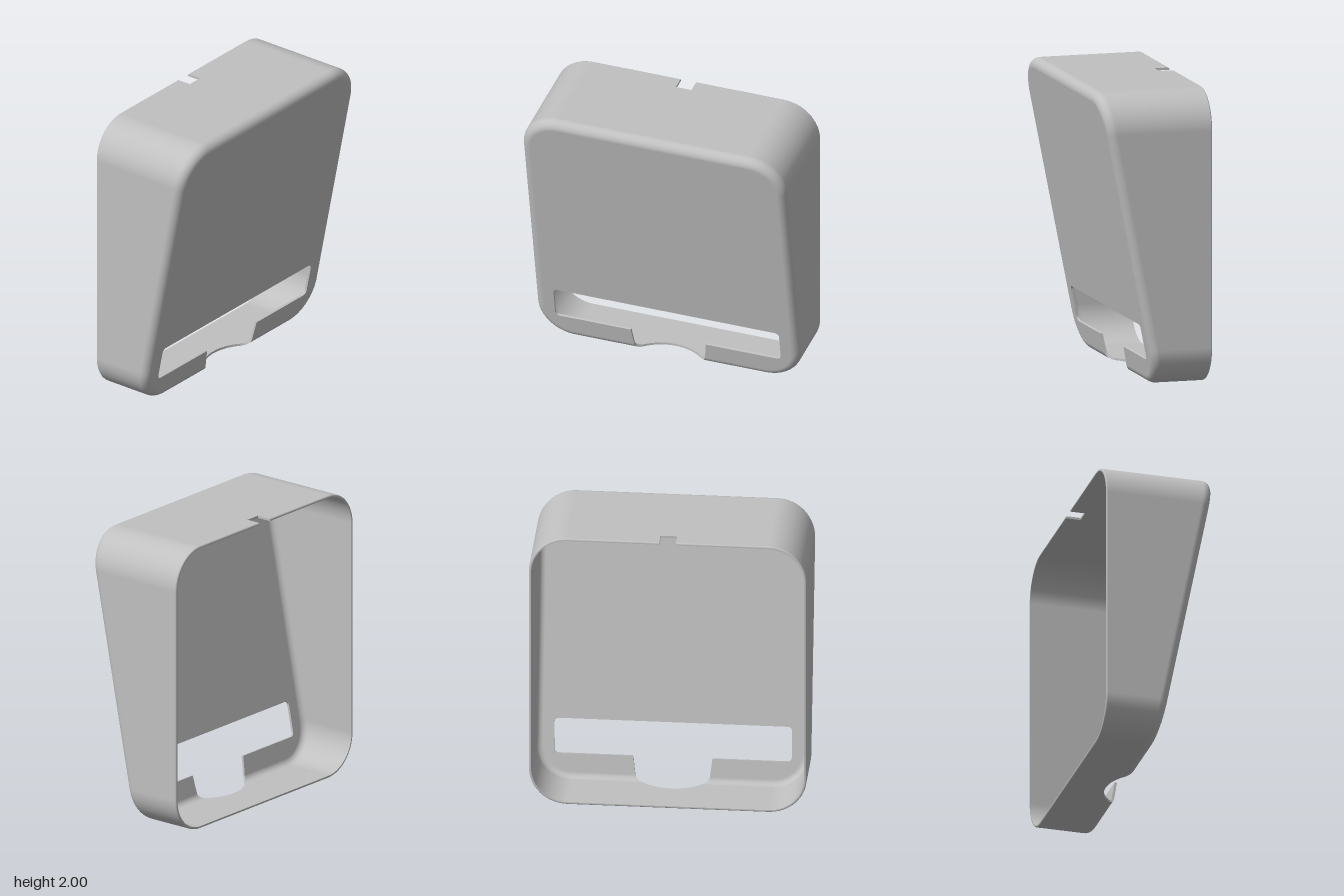
import * as THREE from 'three';

const V = (x, y, z) => new THREE.Vector3(x, y, z);
const HALF_W = 0.935, H = 2, CORNER = 0.26, BACK = -0.383;
const FILLET = 0.06, WALL = 0.016, RIM = 0.01;
const SLOPE = 0.197, Z0 = 0.002;                       // sloped front plane z = Z0 + SLOPE * y
const M = V(0, -SLOPE, 1).normalize();                 // its normal
const CUT_R = 0.305, CUT_Z = 0.185;                    // upright round cut-out at the bottom
const CUT_BACK = CUT_Z - CUT_R;
const NOTCH_X = 0.055, NOTCH_Z = -0.28;                // notch in the top wall
const SLOT = { x: 0.8, y0: 0.175, y1: 0.415, r: 0.03 };

const cutX = z => Math.sqrt(Math.max(0, CUT_R ** 2 - (z - CUT_Z) ** 2));
const planeZ = y => Z0 + SLOPE * y;

// Collects triangles of the +x half; each is turned to agree with its normals
class Surface {
  constructor() { this.p = []; this.n = []; }
  tri(a, b, c, na, nb, nc) {
    const f = b.clone().sub(a).cross(c.clone().sub(a));
    if (f.length() < 1e-9) return;
    if (f.dot(na.clone().add(nb).add(nc)) < 0) { [b, c] = [c, b]; [nb, nc] = [nc, nb]; }
    this.p.push(a, b, c);
    this.n.push(na, nb, nc);
  }
  grid(P, N) {
    for (let i = 0; i + 1 < P.length; i++) for (let j = 0; j + 1 < P[i].length; j++) {
      this.tri(P[i][j], P[i][j + 1], P[i + 1][j], N[i][j], N[i][j + 1], N[i + 1][j]);
      this.tri(P[i + 1][j], P[i][j + 1], P[i + 1][j + 1], N[i + 1][j], N[i][j + 1], N[i + 1][j + 1]);
    }
  }
  // Thickness strip joining an outer edge to the matching inner edge
  ribbon(outer, inner) {
    for (let i = 0; i + 1 < outer.length; i++) {
      const a = outer[i], b = outer[i + 1], c = inner[i], d = inner[i + 1];
      const n = c.clone().sub(a).cross(b.clone().sub(a)).normalize();
      if (n.length() < 0.5) continue;
      this.tri(a, c, b, n, n, n);
      this.tri(b, c, d, n, n, n);
    }
  }
  // side = 1 or -1 (mirrored half)
  geometry(side) {
    const pos = [], nor = [];
    for (let i = 0; i < this.p.length; i += 3)
      for (const k of side > 0 ? [0, 1, 2] : [0, 2, 1]) {
        const p = this.p[i + k], n = this.n[i + k];
        pos.push(side * p.x, p.y, p.z);
        nor.push(side * n.x, n.y, n.z);
      }
    const g = new THREE.BufferGeometry();
    g.setAttribute('position', new THREE.Float32BufferAttribute(pos, 3));
    g.setAttribute('normal', new THREE.Float32BufferAttribute(nor, 3));
    return g;
  }
}

// Half outline from top centre to bottom centre, with outward normals
function halfOutline() {
  const cols = [{ x: 0, y: H, n: V(0, 1, 0) }];
  const steps = 16;
  for (const top of [true, false])
    for (let i = 0; i <= steps; i++) {
      const a = (i / steps) * Math.PI / 2 + (top ? 0 : Math.PI / 2);
      const n = V(Math.sin(a), Math.cos(a), 0);
      cols.push({
        x: HALF_W - CORNER + CORNER * n.x,
        y: (top ? H - CORNER : CORNER) + CORNER * n.y, n
      });
    }
  cols.push({ x: 0, y: 0, n: V(0, -1, 0) });
  return cols;
}

// Rows run from the front panel over the fillet and along the wall to the rim
function rowList() {
  const rows = [];
  for (let i = 0; i <= 8; i++) rows.push({ fillet: i / 8 });
  for (let i = 1; i <= 12; i++) rows.push({ s: 1 - (1 - i / 12) ** 2 });
  rows.push({ z: NOTCH_Z }, { z: NOTCH_Z, notch: true });
  for (let i = 0; i <= 4; i++) {
    const a = (i / 4) * Math.PI / 2;
    rows.push({ z: BACK + RIM * (1 - Math.sin(a)), notch: true, off: RIM * (1 - Math.cos(a)), a });
  }
  return rows;
}

function buildWall() {
  const cols = halfOutline(), rows = rowList();
  const P = [], Q = [], N = [], NI = [];
  for (const row of rows) {
    const p = [], q = [], nn = [], ni = [];
    cols.forEach((c, j) => {
      const C = V(c.x - FILLET * c.n.x, c.y - FILLET * c.n.y, 0);
      C.z = planeZ(C.y) - FILLET * Math.sqrt(1 + SLOPE ** 2);
      let n = c.n.clone();
      if (row.fillet !== undefined) {
        const w = Math.acos(M.dot(c.n)), t = row.fillet;
        n = M.clone().multiplyScalar(Math.sin((1 - t) * w))
          .addScaledVector(c.n, Math.sin(t * w)).normalize();
      } else C.z = row.z ?? THREE.MathUtils.lerp(C.z, CUT_BACK, row.s);
      const o = C.clone().addScaledVector(n, FILLET - (row.off ?? 0));
      const i = C.clone().addScaledVector(n, FILLET - WALL);
      if (j === 0) o.x = i.x = row.notch ? NOTCH_X : 0;
      if (j === cols.length - 1) o.x = i.x = cutX(Math.max(o.z, CUT_BACK));
      p.push(o);
      q.push(i);
      ni.push(n.clone().negate());
      nn.push(row.a ? n.clone().multiplyScalar(Math.cos(row.a)).add(V(0, 0, -Math.sin(row.a))) : n);
    });
    P.push(p); Q.push(q); N.push(nn); NI.push(ni);
  }
  return { P, Q, N, NI, rows };
}

// Slot edge from its top centre round to the bottom cut-out
function slotEdge(yEnd) {
  const { x, y0, y1, r } = SLOT, pts = [[0, y1]];
  for (const top of [true, false])
    for (let i = 0; i <= 5; i++) {
      const a = (i / 5) * Math.PI / 2 + (top ? 0 : Math.PI / 2);
      pts.push([x - r + r * Math.sin(a), (top ? y1 - r : y0 + r) + r * Math.cos(a)]);
    }
  for (let i = 0; i < 6; i++) {
    const y = THREE.MathUtils.lerp(y0, yEnd, i / 6);
    pts.push([cutX(planeZ(y)), y]);
  }
  return pts.map(([px, py]) => V(px, py, planeZ(py)));
}

export function createModel() {
  const group = new THREE.Group();
  group.name = 'slopedHousing';
  const grey = new THREE.MeshStandardMaterial({ color: 0xc0c0c0, side: THREE.DoubleSide });
  grey.name = 'light grey';

  const { P, Q, N, NI, rows } = buildWall();
  const lastCol = P[0].length - 1, lastRow = P.length - 1;
  const inward = v => v.clone().addScaledVector(M, -WALL);

  // Side walls with rounded front edge
  const walls = new Surface();
  walls.grid(P, N);
  walls.grid(Q, NI);

  // Sloped front panel around the slot
  const panel = new Surface();
  const slot = slotEdge(P[0][lastCol].y);
  const loop = [...P[0], ...slot.slice().reverse()];
  const back = M.clone().negate();
  const faces = THREE.ShapeUtils.triangulateShape(loop.map(v => new THREE.Vector2(v.x, v.y)), []);
  for (const f of faces) {
    const [a, b, c] = f.map(i => loop[i]);
    panel.tri(a, b, c, M, M, M);
    panel.tri(inward(a), inward(b), inward(c), back, back, back);
  }

  // Cut edges: slot, bottom cut-out, rear rim and top notch
  const openingEdge = new Surface(), rim = new Surface();
  const cutEnd = rows.findIndex(r => r.s === 1);
  const column = (G, j, from, to) => G.slice(from, to + 1).map(r => r[j]);
  openingEdge.ribbon(
    [...slot, ...column(P, lastCol, 0, cutEnd)],
    [...slot.map(inward), ...column(Q, lastCol, 0, cutEnd)]);
  const notchRow = rows.findIndex(r => r.notch);
  const rimEdge = G => [...G[lastRow].slice().reverse(), ...column(G, 0, notchRow - 1, lastRow - 1).reverse()];
  rim.ribbon(rimEdge(P), rimEdge(Q));

  const parts = { sideWall: walls, frontPanel: panel, openingEdge, rearRim: rim };
  for (const [name, surface] of Object.entries(parts)) {
    const part = new THREE.Group();
    part.name = name;
    for (const side of [1, -1]) {
      const mesh = new THREE.Mesh(surface.geometry(side), grey);
      mesh.name = name + (side > 0 ? 'Left' : 'Right');
      part.add(mesh);
    }
    group.add(part);
  }
  return group;
}
